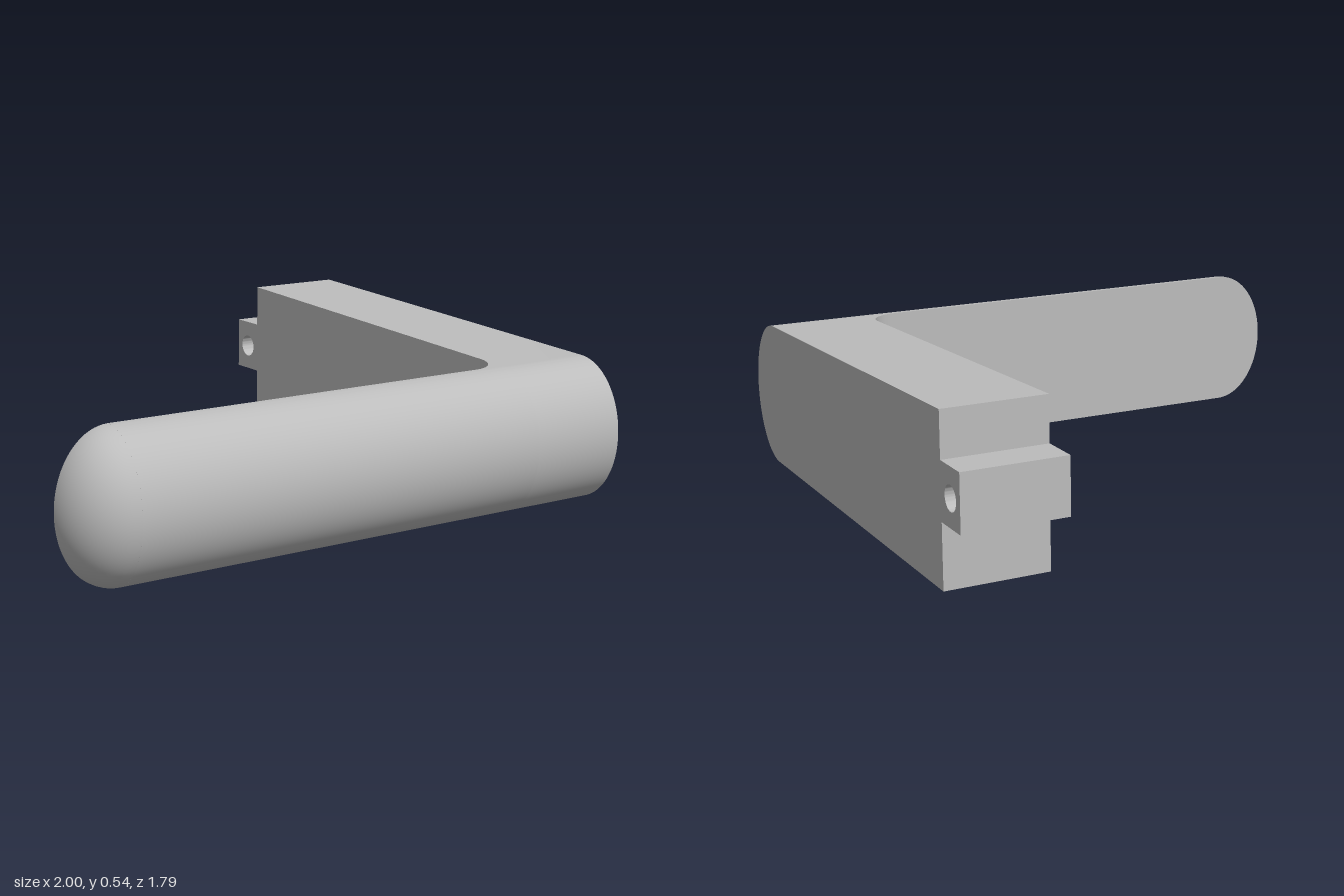
import * as THREE from 'three';
import { toCreasedNormals } from 'three/addons/utils/BufferGeometryUtils.js';

const LEFT = 1, ARM_X = 0.655, CAP_X = -0.82;   // limits along x
const FLAT_Z = 0.695, REAR_Z = -0.76;           // flat back of the grip, rear of the arm
const RZ = 0.197, RY = 0.245;                   // half-ellipse radii of the grip
const topY = (z) => 2 * RY + (FLAT_Z - z) * 0.037; // gently rising top of the arm

// Extrudes a (z, y) outline along x, from x1 down to x0
function extrudeAlongX(shape, x0, x1) {
  const geo = new THREE.ExtrudeGeometry(shape, { depth: x1 - x0, bevelEnabled: false, curveSegments: 36 });
  geo.rotateY(-Math.PI / 2).translate(x1, 0, 0);
  return toCreasedNormals(geo, 0.5);
}

// Rounded front outline, from bottom to top
function noseShape() {
  const shape = new THREE.Shape();
  shape.moveTo(FLAT_Z, 0);
  shape.absellipse(FLAT_Z, RY, RZ, RY, -Math.PI / 2, Math.PI / 2, false);
  return shape;
}

export function createModel() {
  const model = new THREE.Group();
  model.name = 'leverHandle';
  const metal = new THREE.MeshStandardMaterial({ color: 0xbcbcbc });
  metal.name = 'grey metal';
  const add = (name, geo) => {
    const mesh = new THREE.Mesh(geo, metal);
    mesh.name = name;
    model.add(mesh);
  };

  // Arm with its stepped tab and the pin hole
  const arm = noseShape();
  arm.lineTo(REAR_Z, topY(REAR_Z));
  arm.lineTo(REAR_Z, 0.395);
  arm.lineTo(-0.893, 0.395);
  arm.lineTo(-0.893, 0.21);
  arm.lineTo(REAR_Z, 0.21);
  arm.lineTo(REAR_Z, 0);
  arm.closePath();
  const hole = new THREE.Path();
  hole.absarc(-0.826, 0.3, 0.04, 0, Math.PI * 2, true);
  arm.holes.push(hole);
  add('arm', extrudeAlongX(arm, ARM_X, LEFT));

  // Long grip, flat at the back
  const grip = noseShape();
  grip.closePath();
  add('grip', extrudeAlongX(grip, CAP_X, ARM_X));

  // Rounded grip end: quarter ellipsoid with a flat back
  const end = new THREE.SphereGeometry(1, 24, 36, 0, Math.PI / 2);
  end.scale(LEFT + CAP_X, RY, RZ).translate(CAP_X, RY, FLAT_Z);
  add('gripEnd', end);
  const endBack = new THREE.CircleGeometry(1, 36, -Math.PI / 2, Math.PI);
  endBack.rotateY(Math.PI).scale(LEFT + CAP_X, RY, 1).translate(CAP_X, RY, FLAT_Z);
  add('gripEndBack', endBack);

  // Concave fillet in the inner corner, its top following the arm's slope
  const r = 0.11;
  const corner = new THREE.Shape();
  corner.moveTo(ARM_X, -FLAT_Z);
  corner.lineTo(ARM_X, -FLAT_Z + r);
  corner.absarc(ARM_X - r, -FLAT_Z + r, r, 0, -Math.PI / 2, true);
  corner.closePath();
  const fillet = new THREE.ExtrudeGeometry(corner, { depth: 1, bevelEnabled: false, curveSegments: 12 });
  fillet.rotateX(-Math.PI / 2);
  const pos = fillet.attributes.position;
  for (let i = 0; i < pos.count; i++) pos.setY(i, pos.getY(i) > 0.5 ? topY(pos.getZ(i)) : 0);
  add('cornerFillet', toCreasedNormals(fillet, 0.5));

  return model;
}
